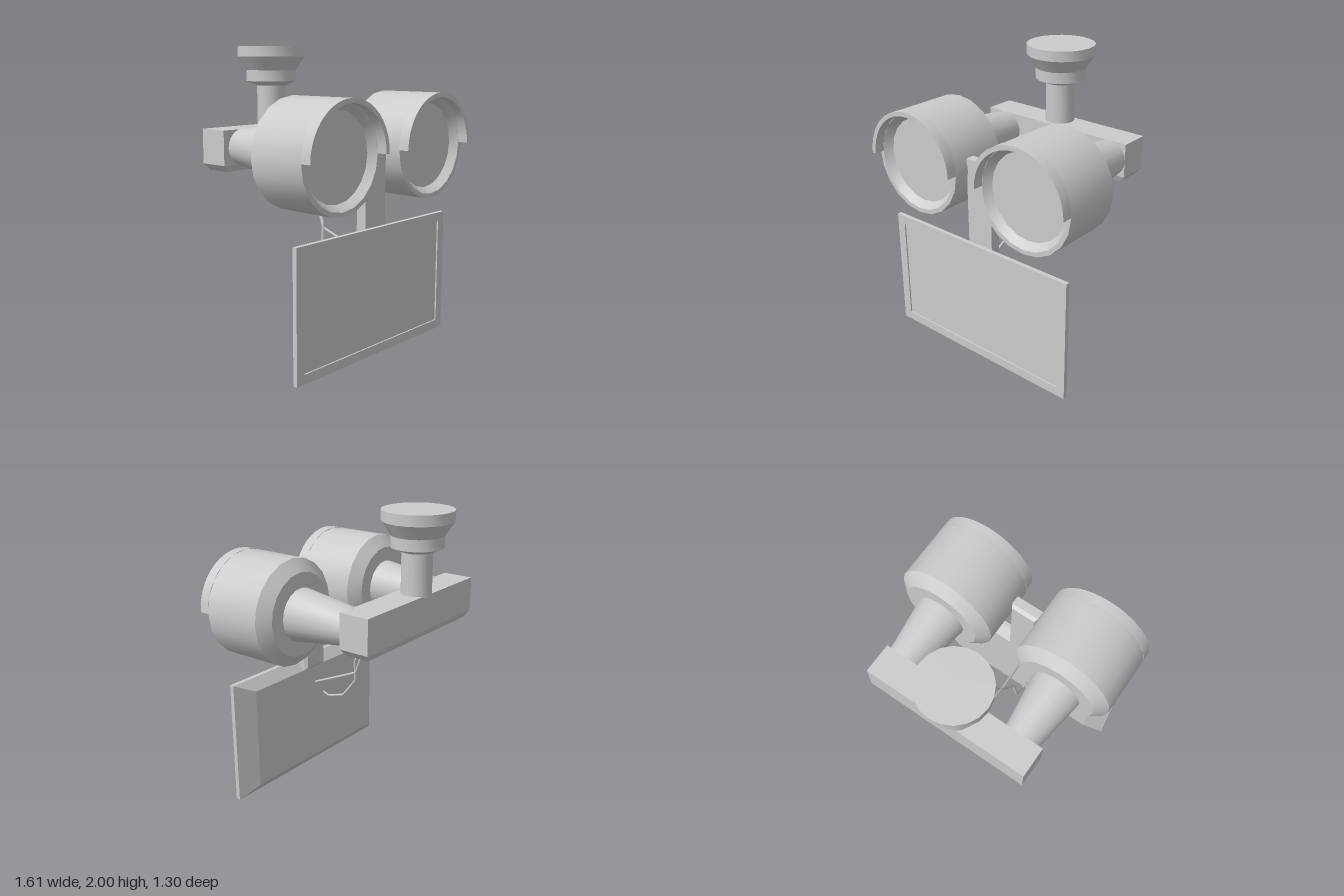
import * as THREE from 'three';
import { toCreasedNormals } from 'three/addons/utils/BufferGeometryUtils.js';

const grey = new THREE.MeshStandardMaterial({ color: 0xcccccc });
const SIDES = 20;

function part(name, geometry, parent) {
  const mesh = new THREE.Mesh(geometry, grey);
  mesh.name = name;
  parent.add(mesh);
  return mesh;
}

const crease = (g) => toCreasedNormals(g, 0.45);
const lathe = (pts) => crease(new THREE.LatheGeometry(pts.map((p) => new THREE.Vector2(...p)), SIDES));

// Solid through centred rectangles [width, height, z], listed from back to front
function rectLoft(sections) {
  const pos = [], index = [];
  for (const [w, h, z] of sections) {
    pos.push(-w / 2, -h / 2, z, w / 2, -h / 2, z, w / 2, h / 2, z, -w / 2, h / 2, z);
  }
  for (let s = 0; s < sections.length - 1; s++) {
    for (let i = 0; i < 4; i++) {
      const a = s * 4 + i, b = s * 4 + (i + 1) % 4;
      index.push(a, b, b + 4, a, b + 4, a + 4);
    }
  }
  const e = (sections.length - 1) * 4;
  index.push(0, 2, 1, 0, 3, 2, e, e + 1, e + 2, e, e + 2, e + 3);
  const g = new THREE.BufferGeometry();
  g.setAttribute('position', new THREE.Float32BufferAttribute(pos, 3));
  g.setIndex(index);
  return toCreasedNormals(g, 0.1);
}

function makeLamp(name) {
  const lamp = new THREE.Group();
  lamp.name = name;

  // Housing with chamfered back, rim and recessed lens
  part('lampHousing', lathe([
    [0, 0.105], [0.275, 0.105], [0.355, 0.17], [0.355, 0.58],
    [0.325, 0.58], [0.285, 0.53], [0, 0.53],
  ]).rotateX(Math.PI / 2), lamp);

  // Visor over the upper half
  const arc = new THREE.Shape();
  arc.absarc(0, 0, 0.355, 0, Math.PI, false);
  arc.absarc(0, 0, 0.325, Math.PI, 0, true);
  const visor = new THREE.ExtrudeGeometry(arc, { depth: 0.07, bevelEnabled: false, curveSegments: SIDES / 2 });
  part('lampVisor', crease(visor), lamp).position.z = 0.58;

  // Tapered arm back to the crossbar
  const neck = new THREE.CylinderGeometry(0.175, 0.12, 0.41, SIDES).rotateX(Math.PI / 2);
  part('lampNeck', crease(neck), lamp).position.z = -0.1;
  return lamp;
}

// Straight-sided cable through a few points
function cable(name, points, parent) {
  const path = new THREE.CurvePath();
  const v = points.map((p) => new THREE.Vector3(...p));
  for (let i = 1; i < v.length; i++) path.add(new THREE.LineCurve3(v[i - 1], v[i]));
  part(name, new THREE.TubeGeometry(path, 48, 0.009, 6), parent);
}

export function createModel() {
  const model = new THREE.Group();
  model.name = 'hangingLampSign';

  // Ceiling mount and pole
  part('ceilingMount', lathe([
    [0, 1.45], [0.1, 1.45], [0.1, 1.735], [0.172, 1.765],
    [0.172, 1.84], [0.233, 1.93], [0.233, 2], [0, 2],
  ]), model).position.set(-0.062, 0, -0.42);

  // Crossbar with chamfered underside
  const bar = rectLoft([[1.18, 0.21, 0], [1.18, 0.21, 0.23], [1.1, 0.165, 0.275]]).rotateX(Math.PI / 2);
  part('crossbar', bar, model).position.set(-0.02, 1.463, -0.402);

  // Pair of lamps
  for (const side of [-1, 1]) {
    const lamp = makeLamp(side > 0 ? 'leftLamp' : 'rightLamp');
    lamp.position.set(side * 0.45, 1.345, 0);
    model.add(lamp);
  }

  // Post between the lamps
  part('post', rectLoft([[0.17, 0.61, 0.387], [0.2, 0.65, 0.41], [0.2, 0.65, 0.472]]), model)
    .position.set(-0.005, 1.105, 0);

  // Sign board with bevelled back
  const sign = new THREE.Group();
  sign.name = 'sign';
  sign.position.set(-0.022, 0.425, 0);
  model.add(sign);
  part('signBoard', rectLoft([[1.2, 0.705, 0.415], [1.495, 0.85, 0.475], [1.495, 0.85, 0.495]]), sign);

  // Raised frame around the panel
  const rect = (path, w, h) => path.moveTo(-w, -h).lineTo(w, -h).lineTo(w, h).lineTo(-w, h).closePath();
  const frame = rect(new THREE.Shape(), 0.7475, 0.425);
  frame.holes.push(rect(new THREE.Path(), 0.683, 0.363));
  part('signFrame', new THREE.ExtrudeGeometry(frame, { depth: 0.01, bevelEnabled: false }), sign)
    .position.z = 0.495;

  // Cables from crossbar to sign
  cable('longCable', [
    [-0.125, 1.2, -0.32], [-0.105, 1.02, 0], [-0.13, 0.85, 0.13], [-0.15, 0.69, 0.14],
    [-0.14, 0.555, 0.245], [-0.13, 0.52, 0.375], [-0.12, 0.545, 0.42],
  ], model);
  cable('shortCable', [
    [-0.03, 1.2, -0.32], [-0.06, 1.025, -0.015], [-0.065, 0.795, 0.07], [-0.03, 0.65, 0.42],
  ], model);

  return model;
}
